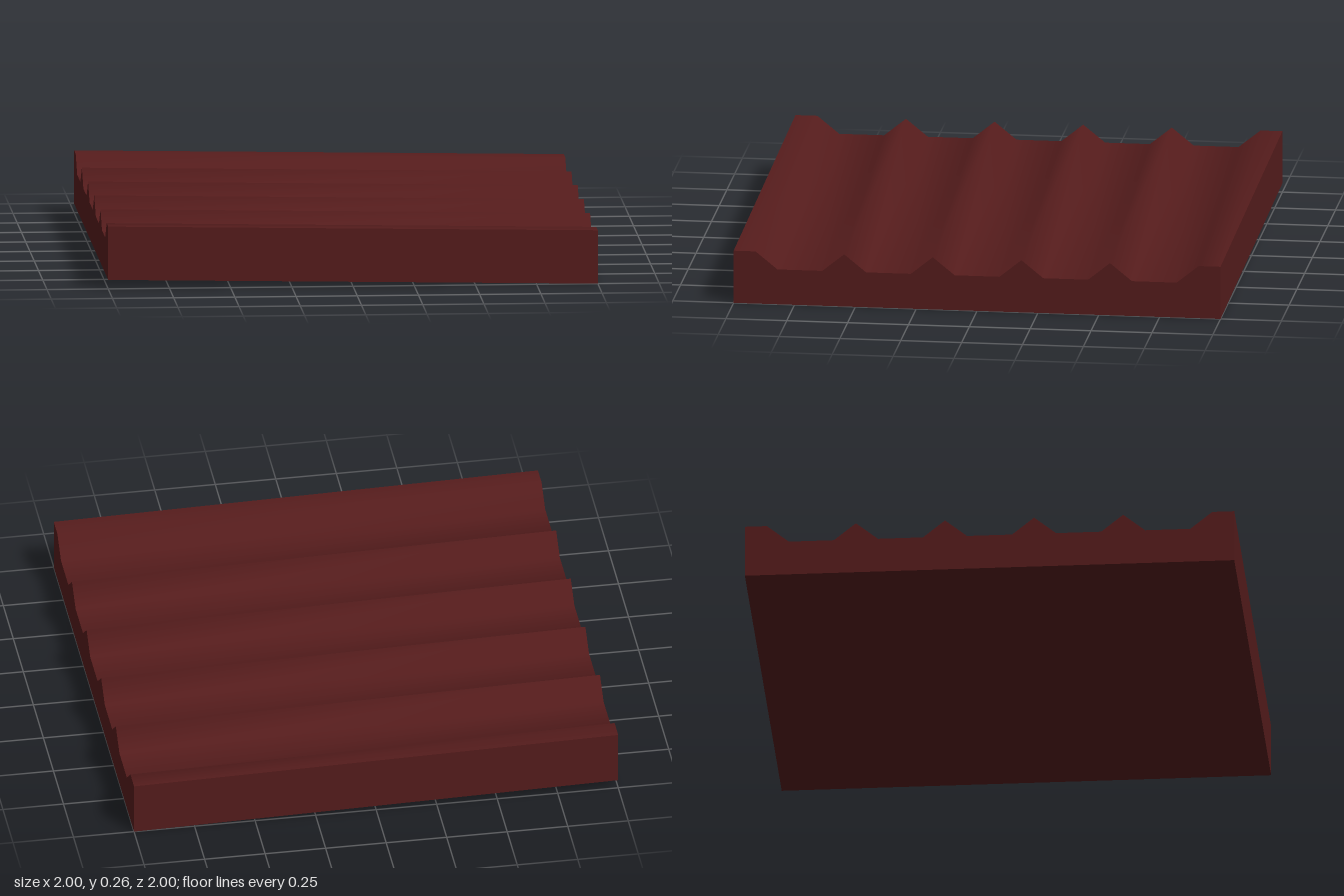
import * as THREE from 'three';
import { toCreasedNormals } from 'three/addons/utils/BufferGeometryUtils.js';

const PEAK = 0.22, VALLEY = 0.147; // heights above the underside
const PITCH = 0.364, FLANK = 0.09; // rib spacing and half width
const FALL = 0.037;                // drop of the panel from -x to +x

// Cross-section: flat underside, raised borders and pointed ribs
function panelProfile() {
  const shape = new THREE.Shape();
  shape.moveTo(-1, 0);
  shape.lineTo(1, 0);
  shape.lineTo(1, PEAK);
  for (let i = 5; i >= 0; i--) {
    const ridge = (i - 2.5) * PITCH;
    if (i < 5) shape.lineTo(ridge + FLANK, VALLEY);
    shape.lineTo(ridge, PEAK);
    if (i > 0) shape.lineTo(ridge - FLANK, VALLEY);
  }
  shape.lineTo(-1, PEAK);
  shape.closePath();
  return shape;
}

export function createModel() {
  const model = new THREE.Group();
  model.name = 'ribbedRoofPanel';

  // Ribs run along x
  const geometry = new THREE.ExtrudeGeometry(panelProfile(), { depth: 2, bevelEnabled: false });
  geometry.translate(0, 0, -1);
  geometry.rotateY(Math.PI / 2);

  // Tilt the panel while its end faces stay upright
  const pos = geometry.attributes.position;
  for (let i = 0; i < pos.count; i++) {
    pos.setY(i, pos.getY(i) + FALL * (1 - pos.getX(i)) / 2);
  }

  // Soft shading over the ribs, sharp outer corners
  const material = new THREE.MeshStandardMaterial({ color: 0x551c1c });
  const panel = new THREE.Mesh(toCreasedNormals(geometry, 1.45), material);
  panel.name = 'roofPanel';
  model.add(panel);
  return model;
}
